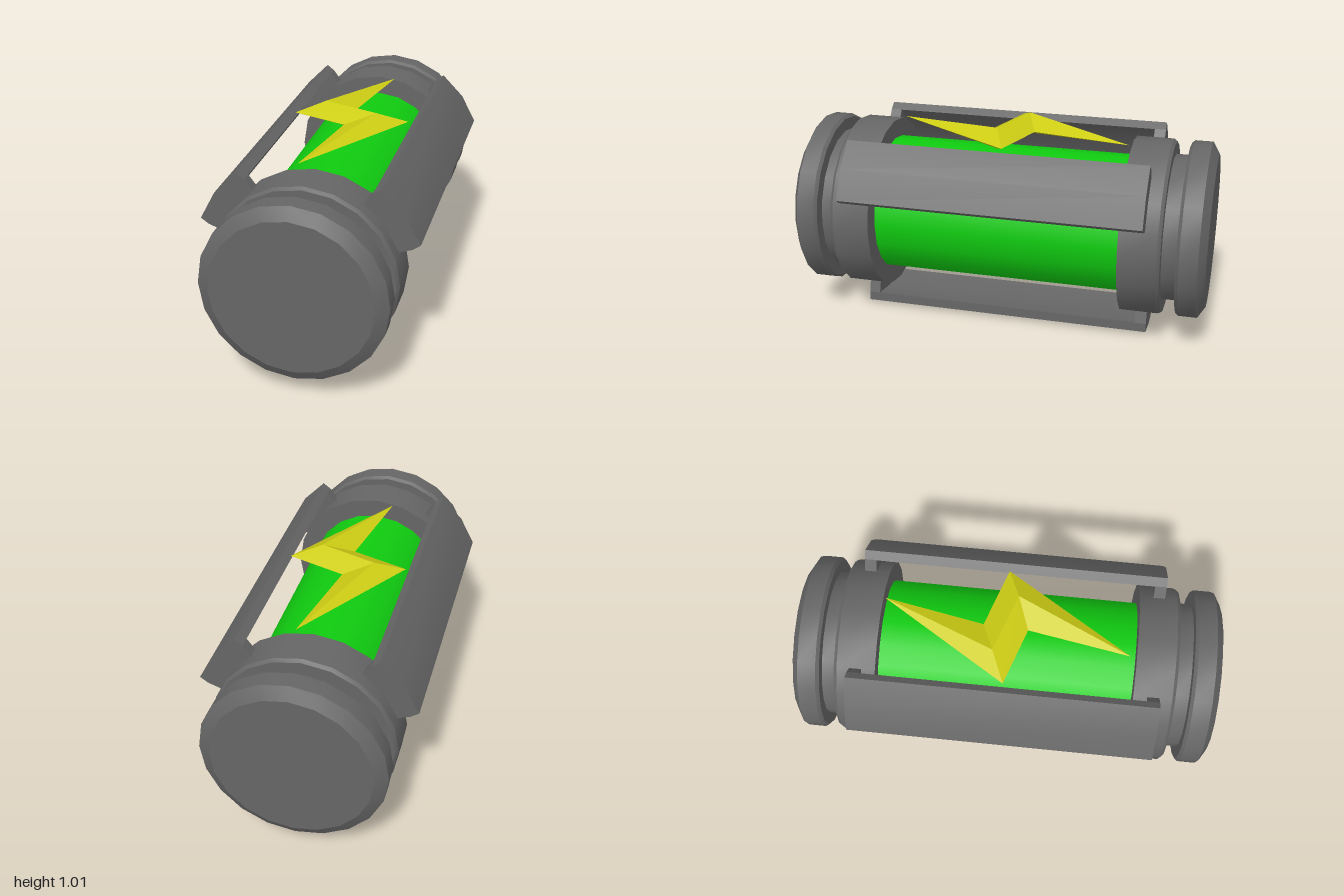
import * as THREE from 'three';
import { toCreasedNormals } from 'three/addons/utils/BufferGeometryUtils.js';

const SIDES = 20;
const AXIS_Y = 0.537;
const rad = THREE.MathUtils.degToRad;

const metal = new THREE.MeshStandardMaterial({ color: 0x666666 });
const green = new THREE.MeshStandardMaterial({ color: 0x10cc10 });
const yellow = new THREE.MeshStandardMaterial({ color: 0xcccc14, flatShading: true });

function part(name, geometry, material) {
  const mesh = new THREE.Mesh(geometry, material);
  mesh.name = name;
  return mesh;
}

// Turned end piece along +z: collar, groove and bevelled cap
function endCapGeometry() {
  const profile = [
    [0, 0.6], [0.427, 0.6], [0.427, 0.78], [0.415, 0.795], [0.355, 0.795],
    [0.355, 0.865], [0.415, 0.865], [0.427, 0.88], [0.427, 0.965], [0.37, 1], [0, 1],
  ].map(([r, z]) => new THREE.Vector2(r, z));
  const geometry = new THREE.LatheGeometry(profile, SIDES).rotateX(Math.PI / 2);
  return toCreasedNormals(geometry, rad(25));
}

// Three-point ring sector centred on +x, extruded from z0 to z1
function sectorGeometry(rIn, rOut, halfIn, halfOut, z0, z1) {
  const at = (r, deg) => new THREE.Vector2(r * Math.cos(rad(deg)), r * Math.sin(rad(deg)));
  const shape = new THREE.Shape([
    at(rOut, -halfOut), at(rOut, 0), at(rOut, halfOut),
    at(rIn, halfIn), at(rIn, 0), at(rIn, -halfIn),
  ]);
  const geometry = new THREE.ExtrudeGeometry(shape, { depth: z1 - z0, bevelEnabled: false });
  return toCreasedNormals(geometry.translate(0, 0, z0), rad(35));
}

// Outer plate with a foot at each end
function createRail(name, degrees) {
  const rail = new THREE.Group();
  rail.name = name;
  rail.add(part('railPlate', sectorGeometry(0.488, 0.532, 17.8, 16.4, -0.72, 0.72), metal));
  for (const [foot, z] of [['frontFoot', 0.665], ['backFoot', -0.72]]) {
    rail.add(part(foot, sectorGeometry(0.4, 0.489, 18, 17.8, z, z + 0.055), metal));
  }
  rail.rotation.z = rad(degrees);
  return rail;
}

// Faceted zigzag bolt: flat outline, two raised ridge points, mirrored below
function boltGeometry() {
  const outline = [[0.085, -0.59], [-0.28, 0], [-0.01, 0.09], [-0.09, 0.57], [0.28, -0.025], [0, -0.118]];
  const ridge = [[-0.14, -0.062], [0.135, 0.033]];
  const faces = [[0, 1, 6], [1, 2, 7], [1, 7, 6], [2, 3, 7], [3, 4, 7], [4, 5, 6], [4, 6, 7], [5, 0, 6]];
  const positions = [];
  for (const side of [1, -1]) {
    const points = [
      ...outline.map(([x, z]) => [x, 0, z]),
      ...ridge.map(([x, z]) => [x, side * 0.052, z]),
    ];
    for (const face of faces) {
      const order = side > 0 ? face : [...face].reverse();
      order.forEach((i) => positions.push(...points[i]));
    }
  }
  const geometry = new THREE.BufferGeometry();
  geometry.setAttribute('position', new THREE.Float32BufferAttribute(positions, 3));
  geometry.computeVertexNormals();
  return geometry;
}

export function createModel() {
  const model = new THREE.Group();
  model.name = 'energyCell';

  const body = new THREE.Group();
  body.name = 'body';
  body.position.y = AXIS_Y;
  model.add(body);

  // Glowing core
  const core = new THREE.CylinderGeometry(0.336, 0.336, 1.22, SIDES).rotateX(Math.PI / 2);
  body.add(part('core', core, green));

  // End caps
  const capGeometry = endCapGeometry();
  const backCap = part('backCap', capGeometry, metal);
  backCap.rotation.y = Math.PI;
  body.add(part('frontCap', capGeometry, metal), backCap);

  // Three guard rails
  body.add(createRail('leftRail', 36.3), createRail('rightRail', 143.7), createRail('bottomRail', 270));

  // Bolt emblem resting above the core
  const bolt = part('bolt', boltGeometry(), yellow);
  bolt.position.y = 0.965;
  model.add(bolt);

  return model;
}
